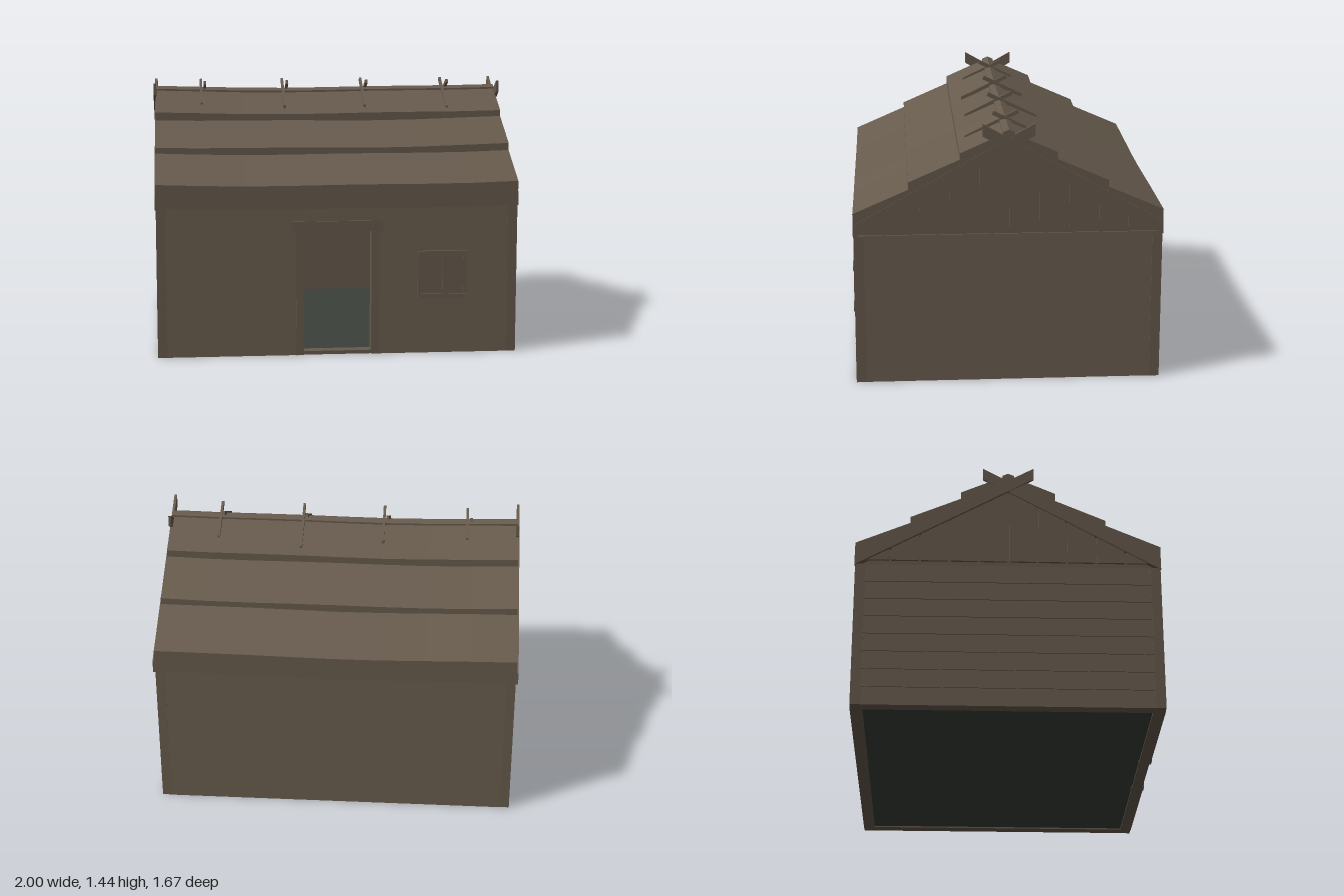
import * as THREE from 'three';

const wood = new THREE.MeshStandardMaterial({ color: 0x675b4d });
wood.name = 'weathered wood';
const floorMat = new THREE.MeshStandardMaterial({ color: 0x3b403a });
floorMat.name = 'dark floor';

export function createModel() {
  const model = new THREE.Group();

  const add = (name, geo, parent = model, mat = wood) => {
    const m = new THREE.Mesh(geo, mat);
    m.name = name;
    parent.add(m);
    return m;
  };
  const group = (name) => {
    const g = new THREE.Group();
    g.name = name;
    model.add(g);
    return g;
  };
  // box given by its min and max corners
  const box = (name, x0, x1, y0, y1, z0, z1, parent, mat) => {
    const m = add(name, new THREE.BoxGeometry(x1 - x0, y1 - y0, z1 - z0), parent, mat);
    m.position.set((x0 + x1) / 2, (y0 + y1) / 2, (z0 + z1) / 2);
    return m;
  };
  // [z, y] outline swept from x0 to x1
  const sweep = (pts, x0, x1, steps = 1) => {
    const shape = new THREE.Shape(pts.map(([z, y]) => new THREE.Vector2(-z, y)));
    const geo = new THREE.ExtrudeGeometry(shape, { depth: x1 - x0, steps, bevelEnabled: false });
    return geo.rotateY(Math.PI / 2).translate(x0, 0, 0);
  };

  const H = 0.83, X = 0.985, Z = 0.82, T = 0.055;

  // Wall cores, the front one cut out for the doorway
  const front = new THREE.Shape([[-0.975, 0], [-0.19, 0], [-0.19, 0.69], [0.185, 0.69], [0.185, 0],
    [0.975, 0], [0.975, H], [-0.975, H]].map(([x, y]) => new THREE.Vector2(x, y)));
  add('frontWall', new THREE.ExtrudeGeometry(front, { depth: T, bevelEnabled: false })).position.z = Z - T;
  box('backWall', -0.975, 0.975, 0, H, -Z, -Z + T);
  for (const s of [-1, 1]) {
    box('sideWall', s * 0.948 - 0.027, s * 0.948 + 0.027, 0, H, -Z + T, Z - T);
  }
  box('floor', -0.93, 0.93, 0.008, 0.016, -Z + T, Z - T, model, floorMat);

  // Lapped siding: the lower edge of each plank stands out
  const siding = group('siding');
  const rows = 8, step = H / rows;
  const plank = (a, b, i, side) => {
    const geo = new THREE.BoxGeometry(b - a, step, 0.006);
    const p = geo.attributes.position;
    for (let k = 0; k < p.count; k++) {
      if (p.getY(k) < 0 && p.getZ(k) > 0) p.setZ(k, p.getZ(k) + 0.006);
    }
    geo.computeVertexNormals();
    geo.translate((a + b) / 2, (i + 0.5) * step, side % 2 ? 0.977 : Z + 0.002);
    geo.rotateY(side * Math.PI / 2);
    add('plank', geo, siding);
  };
  for (let i = 0; i < rows; i++) {
    if (i * step < 0.69) {
      plank(-0.94, -0.21, i, 0);
      plank(0.2, 0.94, i, 0);
    } else plank(-0.94, 0.94, i, 0);
    plank(-0.94, 0.94, i, 2);
    plank(-0.78, 0.78, i, 1);
    plank(-0.78, 0.78, i, 3);
  }
  for (const sx of [-1, 1]) {
    for (const sz of [-1, 1]) {
      box('cornerPost', sx * 0.962 - 0.026, sx * 0.962 + 0.026, 0, H,
        sz * 0.802 - 0.027, sz * 0.802 + 0.027);
    }
  }

  // Door frame
  const door = group('doorFrame');
  box('leftPost', 0.183, 0.227, 0, 0.69, 0.76, 0.835, door);
  box('rightPost', -0.23, -0.188, 0, 0.69, 0.76, 0.835, door);
  box('lintel', -0.25, 0.247, 0.69, 0.747, 0.76, 0.84, door);
  box('threshold', -0.19, 0.185, 0, 0.02, 0.765, 0.825, door);

  // Shuttered window
  const win = group('window');
  box('windowHead', 0.44, 0.71, 0.55, 0.573, 0.81, 0.842, win);
  box('windowSill', 0.44, 0.71, 0.31, 0.333, 0.81, 0.842, win);
  box('windowPost', 0.44, 0.46, 0.333, 0.55, 0.81, 0.838, win);
  box('windowPost', 0.69, 0.71, 0.333, 0.55, 0.81, 0.838, win);
  box('shutter', 0.46, 0.571, 0.333, 0.55, 0.81, 0.833, win);
  box('shutter', 0.579, 0.69, 0.333, 0.55, 0.81, 0.833, win);

  // Roof: three overlapping, gently sagging courses on each slope
  const under = (z) => 1.29 - 0.566 * z;
  const wave = (geo, phase) => {
    const p = geo.attributes.position;
    for (let k = 0; k < p.count; k++) {
      const x = p.getX(k);
      p.setY(k, p.getY(k) + 0.013 * (x * x - 0.5) + 0.003 * Math.sin(5 * x + phase));
    }
    geo.computeVertexNormals();
    return geo;
  };
  const courses = [
    [[0.832, 0.82], [0.832, 0.95], [0.51, 1.09], [0.51, under(0.51)]],
    [[0.535, under(0.535)], [0.535, 1.115], [0.24, 1.244], [0.24, under(0.24)]],
    [[0.26, under(0.26)], [0.26, 1.275], [0, 1.39], [0, under(0)]],
  ];
  const roof = group('roof');
  for (const s of [-1, 1]) {
    courses.forEach((c, i) => {
      add('roofCourse', wave(sweep(c.map(([z, y]) => [s * z, y]), -0.99, 0.99, 8), i === 2 ? 0 : i * 2 + s), roof);
    });
    const cap = [[0, 1.388], [0, 1.4], [s * 0.032, 1.386], [s * 0.032, 1.372]];
    add('ridgeBoard', wave(sweep(cap, -0.99, 0.99, 8), 0), roof);
  }

  // Gables of spaced upright boards
  for (const s of [-1, 1]) {
    const gable = group('gable');
    const slab = (pts, a, b) => sweep(pts, Math.min(s * a, s * b), Math.max(s * a, s * b));
    add('gableBacking', slab([[-0.82, 0.82], [0.82, 0.82], [0, 1.3]], 0.94, 0.972), gable);
    for (let i = -5; i < 5; i++) {
      const a = i * 0.16 + 0.006, b = a + 0.148;
      const top = (z) => Math.max(0.862, under(Math.abs(z)) + 0.03);
      add('gableBoard', slab([[a, 0.858], [b, 0.858], [b, top(b)], [a, top(a)]], 0.965, 0.985), gable);
    }
    // Bargeboards crossing above the ridge
    for (const d of [-1, 1]) {
      const x = d < 0 ? 0.992 : 0.985;
      add('bargeboard', slab([[d * 0.832, 0.82], [d * 0.832, 0.89], [-d * 0.14, 1.437], [-d * 0.14, 1.37]],
        x - 0.007, x + 0.008), gable);
    }
  }

  // Crossed poles straddling the ridge: [x, front reach, back reach]
  const poles = group('ridgePoles');
  for (const [x, f, b] of [[-0.715, 0.17, 0.13], [-0.24, 0.2, 0.16], [0.222, 0.2, 0.21], [0.695, 0.22, 0.16]]) {
    [[1, f, -0.011], [-1, b, 0.011]].forEach(([d, reach, dx]) => {
      const lowY = 1.425 - 0.5 * (reach + 0.07);
      const pts = [[d * reach, lowY], [d * reach, lowY + 0.022], [-d * 0.065, 1.442], [-d * 0.075, 1.422]];
      add('pole', sweep(pts, x + dx - 0.007, x + dx + 0.007), poles);
    });
  }
  return model;
}
